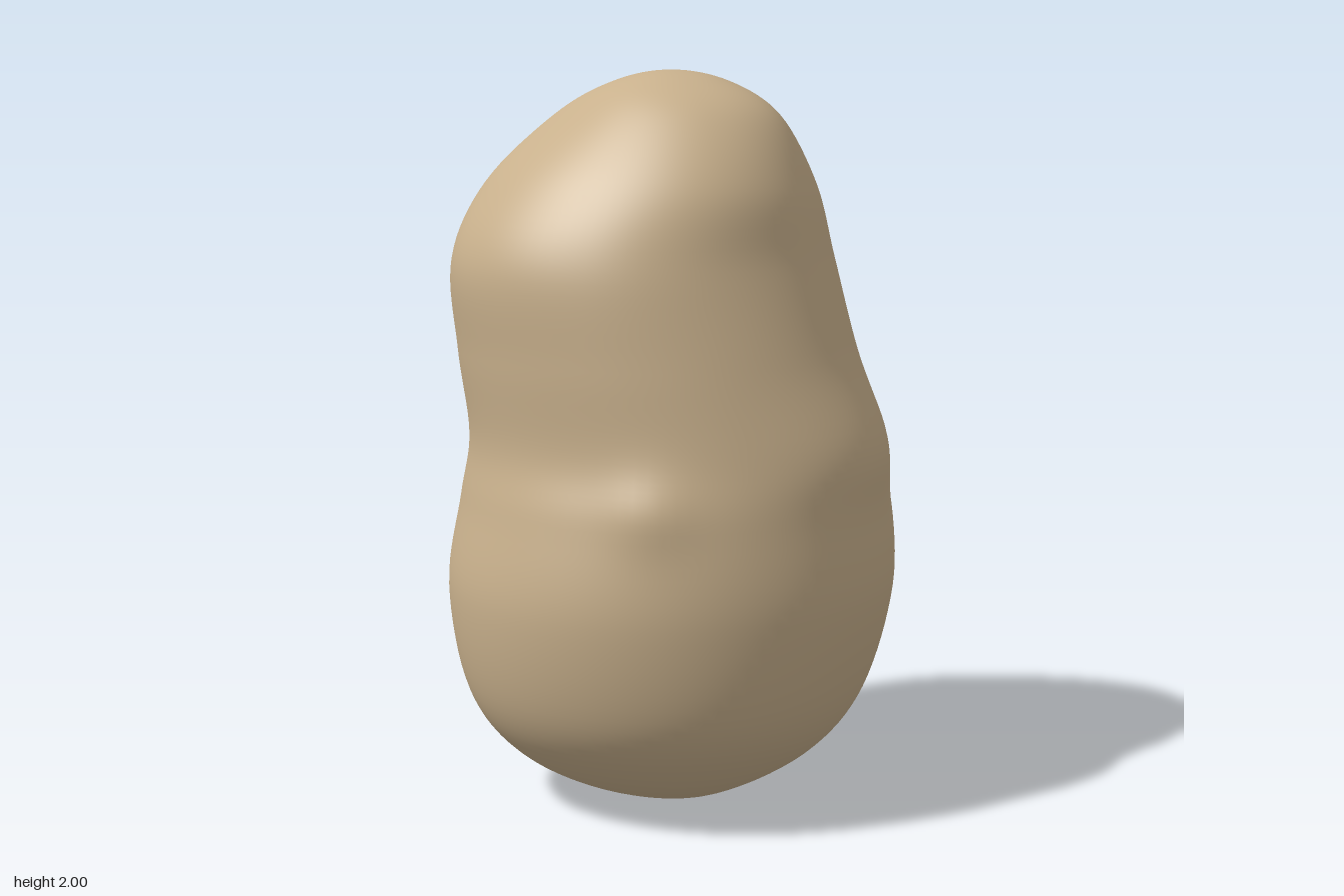
import * as THREE from 'three';
import { mergeVertices } from 'three/addons/utils/BufferGeometryUtils.js';

// Cross-sections: height, then radius in eight directions,
// going round from +x through +z, -x and -z.
const SECTIONS = [
  [0.04, 0.20, 0.22, 0.22, 0.23, 0.23, 0.22, 0.22, 0.21],
  [0.15, 0.40, 0.40, 0.41, 0.44, 0.43, 0.42, 0.42, 0.42],
  [0.32, 0.53, 0.53, 0.54, 0.565, 0.56, 0.54, 0.545, 0.55],
  [0.60, 0.61, 0.585, 0.595, 0.61, 0.62, 0.61, 0.595, 0.61],
  [0.85, 0.605, 0.575, 0.565, 0.57, 0.59, 0.58, 0.57, 0.60],
  [1.02, 0.60, 0.55, 0.525, 0.545, 0.56, 0.53, 0.53, 0.565],
  [1.25, 0.51, 0.505, 0.525, 0.57, 0.585, 0.53, 0.51, 0.505],
  [1.50, 0.44, 0.45, 0.51, 0.585, 0.585, 0.51, 0.44, 0.445],
  [1.70, 0.39, 0.41, 0.425, 0.48, 0.51, 0.42, 0.365, 0.39],
  [1.88, 0.30, 0.29, 0.28, 0.29, 0.33, 0.29, 0.265, 0.28],
  [1.97, 0.16, 0.15, 0.15, 0.15, 0.16, 0.15, 0.15, 0.15],
];

// Knobs and dents: centre x, y, z, outward amount, spread
const BUMPS = [
  [0.13, 1.24, -0.51, 0.045, 0.11],
  [0.17, 1.04, -0.52, -0.015, 0.09],
  [-0.59, 1.28, 0.0, 0.028, 0.1],
  [-0.58, 0.86, 0.03, 0.022, 0.07],
  [0.18, 0.9, 0.52, 0.018, 0.1],
  [0.45, 1.03, -0.36, 0.02, 0.11],
  [0.54, 0.92, -0.22, -0.012, 0.08],
];

// Smooth curve through b and c
function spline(a, b, c, d, t) {
  return b + 0.5 * t * (c - a + t * (2 * a - 5 * b + 4 * c - d + t * (3 * (b - c) + d - a)));
}

// Add the poles, and mirrored rows past them so that the ends are round
function closeEnds(rows) {
  const mirror = (row) => row.map((n, i) => (i ? -n : n));
  const pole = (y) => [y, 0, 0, 0, 0, 0, 0, 0, 0];
  return [mirror(rows[0]), pole(0), ...rows, pole(2), mirror(rows.at(-1))];
}

function bodyGeometry() {
  const rows = closeEnds(SECTIONS);
  let geometry = new THREE.SphereGeometry(1, 96, 96);
  const { position, uv } = geometry.attributes;
  const p = new THREE.Vector3();
  const centre = new THREE.Vector3();

  for (let i = 0; i < position.count; i++) {
    // Blend four rows by height
    const s = 1 + uv.getY(i) * (rows.length - 3);
    const k = Math.min(Math.floor(s), rows.length - 3);
    const row = rows[k].map((_, j) =>
      spline(rows[k - 1][j], rows[k][j], rows[k + 1][j], rows[k + 2][j], s - k));

    // Blend four directions round the row
    const angle = Math.PI * (3 - 2 * uv.getX(i));
    const q = angle / (Math.PI / 4);
    const m = Math.floor(q);
    const at = (n) => row[1 + ((n + 8) % 8)];
    const r = spline(at(m - 1), at(m), at(m + 1), at(m + 2), q - m);
    p.set(r * Math.cos(angle), row[0], r * Math.sin(angle));

    // Push the knobs out and the dents in
    let push = 0;
    for (const [x, y, z, amount, spread] of BUMPS) {
      push += amount * Math.exp(-p.distanceToSquared(centre.set(x, y, z)) / (spread * spread));
    }
    p.x += push * Math.cos(angle);
    p.z += push * Math.sin(angle);
    position.setXYZ(i, p.x, p.y, p.z);
  }

  // Weld the seam for smooth normals
  geometry.deleteAttribute('uv');
  geometry.deleteAttribute('normal');
  geometry = mergeVertices(geometry, 1e-4);
  geometry.computeVertexNormals();
  return geometry;
}

export function createModel() {
  const skin = new THREE.MeshStandardMaterial({ color: 0xc8b08c });
  skin.name = 'tan skin';
  const body = new THREE.Mesh(bodyGeometry(), skin);
  body.name = 'tuberBody';
  const group = new THREE.Group();
  group.name = 'tuber';
  group.add(body);
  return group;
}
